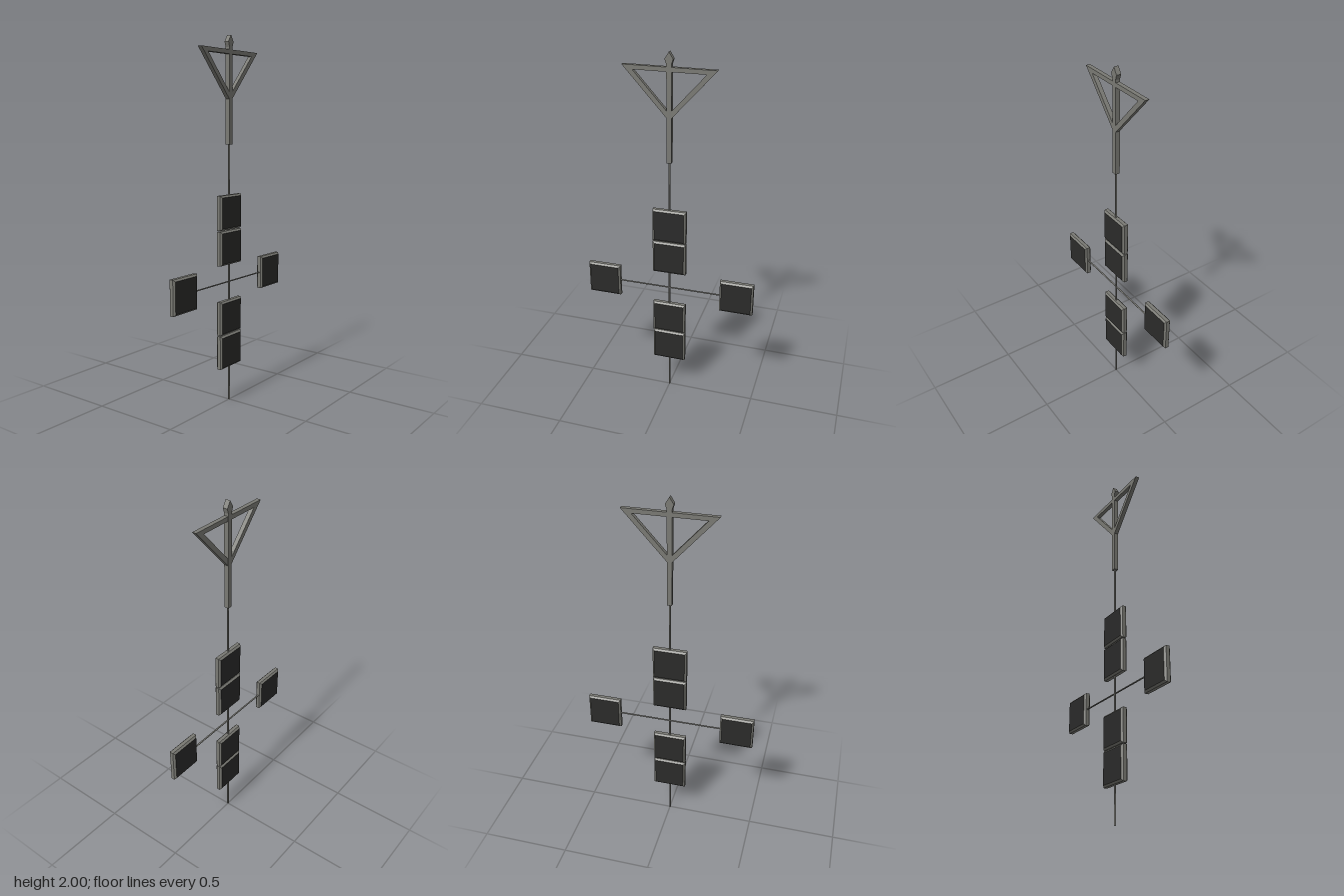
import * as THREE from 'three';

const metal = new THREE.MeshStandardMaterial({ color: 0x7a7a74 });
const dark = new THREE.MeshStandardMaterial({ color: 0x2b2b2a });

// Shape given as [z, y] pairs
const path = (points) => points.map(([z, y]) => new THREE.Vector2(-z, y));

// Extrude a z-y outline along x, centred on x = 0
function extrudeX(shape, thickness, options = {}) {
  const geometry = new THREE.ExtrudeGeometry(shape, { depth: thickness, bevelEnabled: false, ...options });
  geometry.translate(0, 0, -thickness / 2);
  geometry.rotateY(Math.PI / 2);
  return geometry;
}

export function createModel() {
  const group = new THREE.Group();
  const add = (name, geometry, material, x = 0, y = 0, z = 0) => {
    const mesh = new THREE.Mesh(geometry, material);
    mesh.name = name;
    mesh.position.set(x, y, z);
    group.add(mesh);
    return mesh;
  };

  // Thin hanging rod and cross rod
  add('mainRod', new THREE.CylinderGeometry(0.005, 0.005, 1.44, 8), metal, 0, 0.72, 0);
  const cross = new THREE.CylinderGeometry(0.005, 0.005, 0.6, 8);
  cross.rotateX(Math.PI / 2);
  cross.scale(1, 0.7, 1);
  add('crossRod', cross, metal, 0, 0.68, 0);

  // Bevelled square panels: dark faces, metal rims
  const h = 0.084, bevel = 0.01;
  const square = new THREE.Shape(path([[-h, -h], [h, -h], [h, h], [-h, h]]));
  const panel = extrudeX(square, 0.02, {
    bevelEnabled: true, bevelSegments: 1, bevelSize: bevel, bevelThickness: 0.009,
  });
  const panels = [[1.065, 0], [0.872, 0], [0.68, 0.385], [0.68, -0.385], [0.485, 0], [0.293, 0]];
  panels.forEach(([y, z], i) => add(`panel${i + 1}`, panel, [dark, metal], 0, y, z));

  // Square upper post
  add('post', new THREE.BoxGeometry(0.026, 0.52, 0.026), metal, 0, 1.69, 0);

  // Open triangular frame pointing down
  const triangle = new THREE.Shape(path([[-0.245, 1.925], [0, 1.655], [0.245, 1.925]]));
  triangle.holes.push(new THREE.Path(path([[-0.19, 1.902], [0.19, 1.902], [0, 1.692]])));
  add('triangleFrame', extrudeX(triangle, 0.023), metal);

  // Diamond-shaped finial
  const diamond = new THREE.Shape(path([[-0.012, 1.935], [0.012, 1.935], [0.022, 1.965], [0, 2], [-0.022, 1.965]]));
  add('finial', extrudeX(diamond, 0.026), metal);

  return group;
}
